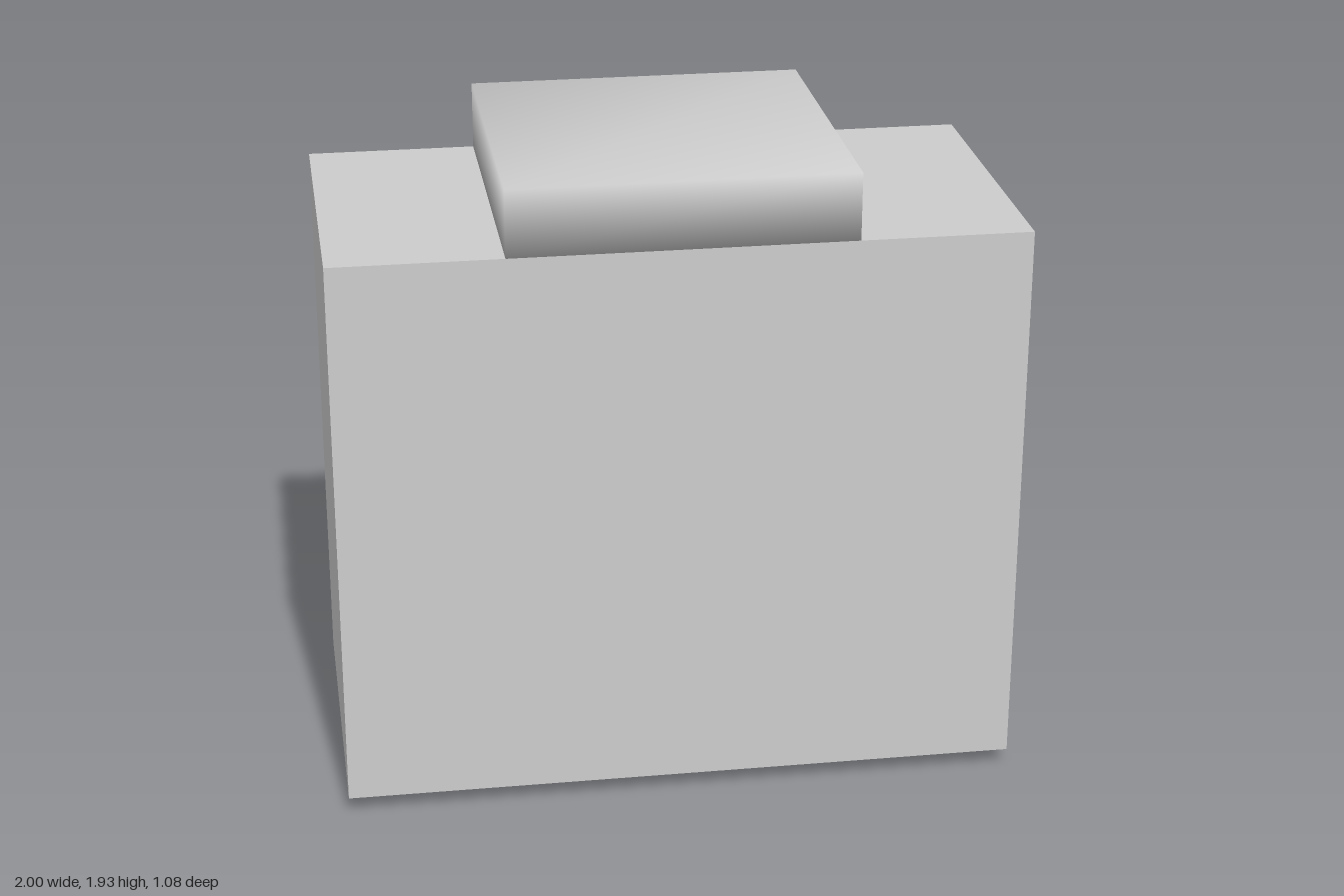
import * as THREE from 'three';
import { mergeVertices } from 'three/addons/utils/BufferGeometryUtils.js';

export function createModel() {
  const model = new THREE.Group();
  model.name = 'officeBuilding';
  const concrete = new THREE.MeshStandardMaterial({ color: 0xcccccc });
  concrete.name = 'concrete grey';

  const add = (name, geometry) => {
    const mesh = new THREE.Mesh(geometry, concrete);
    mesh.name = name;
    model.add(mesh);
    return mesh;
  };
  // Box given by its lower and upper corners
  const block = (x0, x1, y0, y1, z0, z1) =>
    new THREE.BoxGeometry(x1 - x0, y1 - y0, z1 - z0)
      .translate((x0 + x1) / 2, (y0 + y1) / 2, (z0 + z1) / 2);

  const bottom = 0.055, top = 1.73, back = -0.46, front = 0.535, recess = 0.018;
  const floors = 6, columns = 18;
  const storey = (top - bottom) / floors, bay = 2 / columns;

  // Main block, stopping at the window panes
  add('mainBlock', block(-1, 1, bottom, top, back + recess, front));

  // Rear wall with a grid of window openings
  const wall = new THREE.Shape();
  wall.moveTo(-1, bottom).lineTo(1, bottom).lineTo(1, top).lineTo(-1, top).closePath();
  for (let f = 0; f < floors; f++) {
    for (let c = 0; c < columns; c++) {
      const x0 = -1 + c * bay + 0.009, x1 = x0 + bay - 0.018;
      const y0 = bottom + f * storey + 0.03, y1 = y0 + storey - 0.06;
      const hole = new THREE.Path();
      hole.moveTo(x0, y0).lineTo(x0, y1).lineTo(x1, y1).lineTo(x1, y0).closePath();
      wall.holes.push(hole);
    }
  }
  add('windowWall', new THREE.ExtrudeGeometry(wall, { depth: recess, bevelEnabled: false })
    .translate(0, 0, back));

  // Slightly proud bands between the storeys
  for (let f = 1; f < floors; f++) {
    const y = bottom + f * storey;
    add('floorBand' + f, block(-1, 1, y - 0.022, y + 0.022, back - 0.005, back + 0.005));
  }

  // Entrance block
  add('entrance', block(-0.3, 0.3, 0, 0.4, -0.54, -0.44));

  // Rooftop block with soft shading across its edges
  let cap = block(-0.5, 0.5, top, 1.93, back, front);
  cap.deleteAttribute('normal');
  cap.deleteAttribute('uv');
  cap = mergeVertices(cap);
  cap.computeVertexNormals();
  add('roofBlock', cap);

  return model;
}
